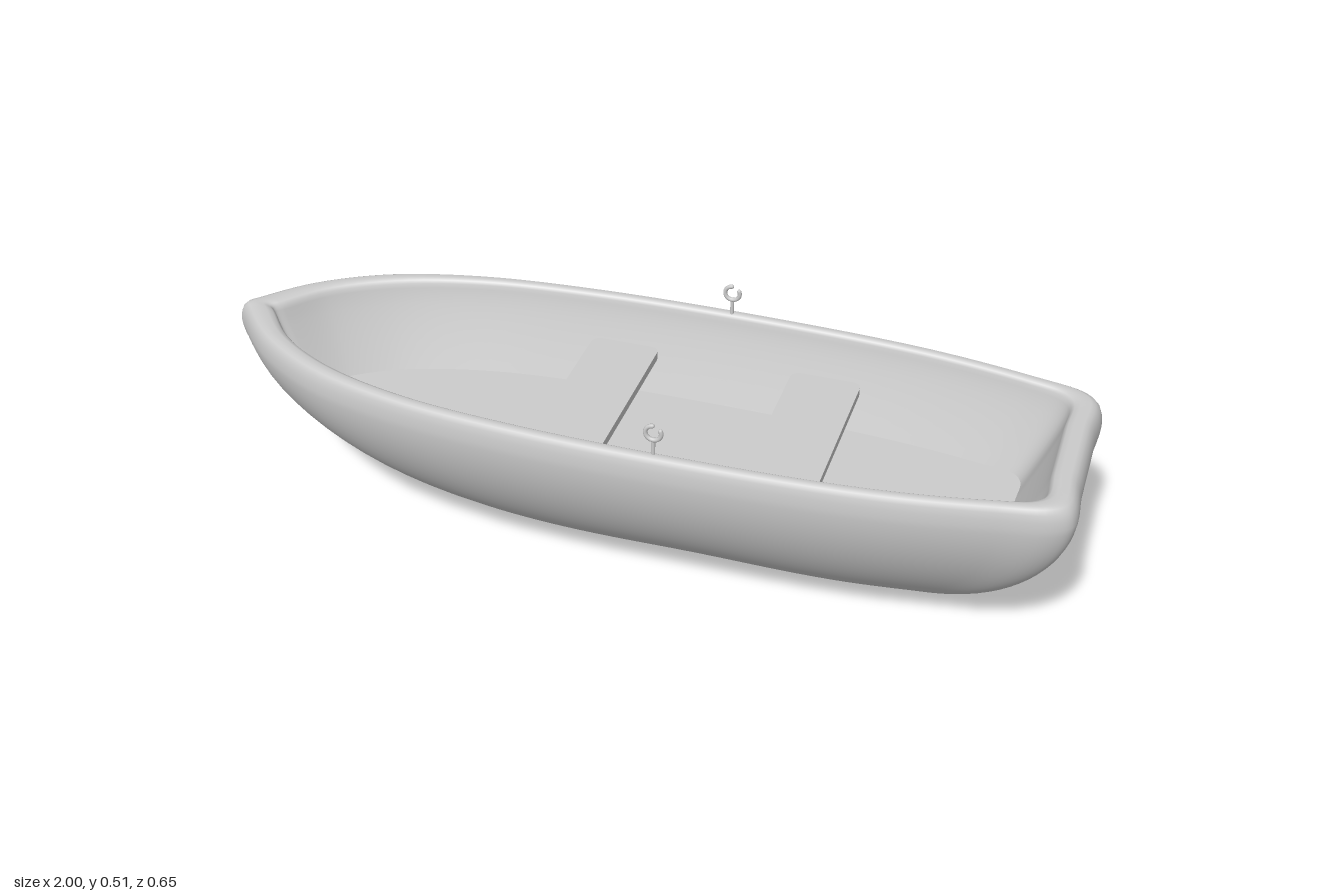
import * as THREE from 'three';
import { mergeVertices } from 'three/addons/utils/BufferGeometryUtils.js';

const N = 144; // points around the boat
const grey = new THREE.MeshStandardMaterial({ color: 0xcccccc });
const lerp = THREE.MathUtils.lerp;

// Half plan outlines (x, z), bow to stern, with matching point counts
const OUTER = [[-1, 0], [-0.98, 0.028], [-0.88, 0.132], [-0.72, 0.228], [-0.5, 0.288], [-0.2, 0.318], [0.2, 0.322],
  [0.6, 0.302], [0.85, 0.262], [0.965, 0.236], [1, 0.205], [1, 0.1], [1, 0]];
const INNER = [[-0.91, 0], [-0.895, 0.018], [-0.82, 0.105], [-0.68, 0.19], [-0.48, 0.25], [-0.2, 0.28], [0.2, 0.286],
  [0.58, 0.268], [0.82, 0.23], [0.905, 0.205], [0.93, 0.175], [0.93, 0.09], [0.93, 0]];
const FLOOR = [[-0.83, 0], [-0.82, 0.012], [-0.76, 0.07], [-0.65, 0.135], [-0.45, 0.193], [-0.2, 0.22], [0.2, 0.225],
  [0.55, 0.21], [0.76, 0.182], [0.83, 0.168], [0.85, 0.14], [0.85, 0.07], [0.85, 0]];
const FLOOR_Y = 0.22;

// Mirrors a half outline and samples it as a smooth closed loop
function outline(half) {
  const other = half.slice(1, -1).reverse().map(([x, z]) => [x, -z]);
  const pts = [...half, ...other].map(([x, z]) => new THREE.Vector3(x, 0, z));
  const curve = new THREE.CatmullRomCurve3(pts, true, 'centripetal');
  return Array.from({ length: N }, (_, i) => curve.getPoint(i / N));
}

// Skins a stack of closed rings
function loft(rings) {
  const index = [];
  for (let r = 0; r < rings.length - 1; r++) {
    for (let i = 0; i < N; i++) {
      const j = (i + 1) % N;
      const a = r * N + i, b = r * N + j, c = a + N, d = b + N;
      index.push(a, b, d, a, d, c);
    }
  }
  const geo = new THREE.BufferGeometry().setFromPoints(rings.flat());
  geo.setIndex(index);
  const merged = mergeVertices(geo, 1e-5);
  merged.computeVertexNormals();
  return merged;
}

function add(parent, name, geo, x = 0, y = 0, z = 0) {
  const mesh = new THREE.Mesh(geo, grey);
  mesh.name = name;
  mesh.position.set(x, y, z);
  parent.add(mesh);
  return mesh;
}

function hullGeometry(outer, inner, floor) {
  const rings = [];
  // Outside: each rim point sweeps down a rounded arc to the keel line
  const steps = 26;
  for (let s = 0; s <= steps; s++) {
    const a = (1 - s / steps) * Math.PI / 2;
    const f = Math.pow(Math.max(Math.cos(a), 0), 2 / 1.75);
    const drop = Math.pow(Math.sin(a), 2 / 1.75);
    rings.push(outer.map((p) => {
      const x = lerp(lerp(-0.2, 0.55, (p.x + 1) / 2), p.x, f);
      const hump = 0.016 * Math.exp(-(((x - 0.17) / 0.22) ** 2)) * (1 - f);
      return new THREE.Vector3(x, 0.003 + 0.38 * (1 - drop) + hump, p.z * f);
    }));
  }
  const blend = (from, to, t, y) => rings.push(from.map((p, i) => p.clone().lerp(to[i], t).setY(y)));
  // Rounded gunwale
  for (const [t, y] of [[0.04, 0.403], [0.12, 0.419], [0.25, 0.43], [0.4, 0.434], [0.7, 0.434], [0.87, 0.43], [0.96, 0.423], [1, 0.412]]) {
    blend(outer, inner, t, y);
  }
  // Inside walls down to the floor
  for (let s = 1; s <= 10; s++) blend(inner, floor, Math.pow(s / 10, 1.15), lerp(0.412, FLOOR_Y, s / 10));
  return loft(rings);
}

// Plank with rounded corners lying across the boat
function seatGeometry(w, l, h, r) {
  const s = new THREE.Shape();
  const x = w / 2, y = l / 2;
  s.moveTo(-x + r, -y);
  s.lineTo(x - r, -y);
  s.quadraticCurveTo(x, -y, x, -y + r);
  s.lineTo(x, y - r);
  s.quadraticCurveTo(x, y, x - r, y);
  s.lineTo(-x + r, y);
  s.quadraticCurveTo(-x, y, -x, y - r);
  s.lineTo(-x, -y + r);
  s.quadraticCurveTo(-x, -y, -x + r, -y);
  return new THREE.ExtrudeGeometry(s, { depth: h, bevelEnabled: false, curveSegments: 8 }).rotateX(-Math.PI / 2);
}

// Post topped by an open ring
function oarlock(z) {
  const g = new THREE.Group();
  g.name = 'oarlock';
  g.position.set(0.125, 0, z);
  add(g, 'oarlockPost', new THREE.CylinderGeometry(0.0045, 0.0045, 0.045, 12), 0, 0.443, 0);
  const arc = Math.PI * 1.6;
  const ring = add(g, 'oarlockRing', new THREE.TorusGeometry(0.0175, 0.005, 10, 32, arc), 0, 0.487, 0);
  ring.rotation.z = Math.PI / 3 + (Math.PI * 2 - arc) / 2;
  for (const a of [0, arc]) {
    add(ring, 'oarlockTip', new THREE.SphereGeometry(0.005, 10, 8), 0.0175 * Math.cos(a), 0.0175 * Math.sin(a), 0);
  }
  return g;
}

export function createModel() {
  const boat = new THREE.Group();
  boat.name = 'rowingBoat';
  const [outer, inner, floor] = [OUTER, INNER, FLOOR].map(outline);

  add(boat, 'hull', hullGeometry(outer, inner, floor));

  const floorShape = new THREE.Shape(floor.map((p) => new THREE.Vector2(p.x, -p.z)));
  add(boat, 'floor', new THREE.ShapeGeometry(floorShape).rotateX(-Math.PI / 2), 0, FLOOR_Y, 0);

  for (const x of [-0.12, 0.37]) add(boat, 'seat', seatGeometry(0.165, 0.51, 0.02, 0.025), x, 0.31, 0);

  for (const side of [1, -1]) boat.add(oarlock(side * 0.299));
  return boat;
}
